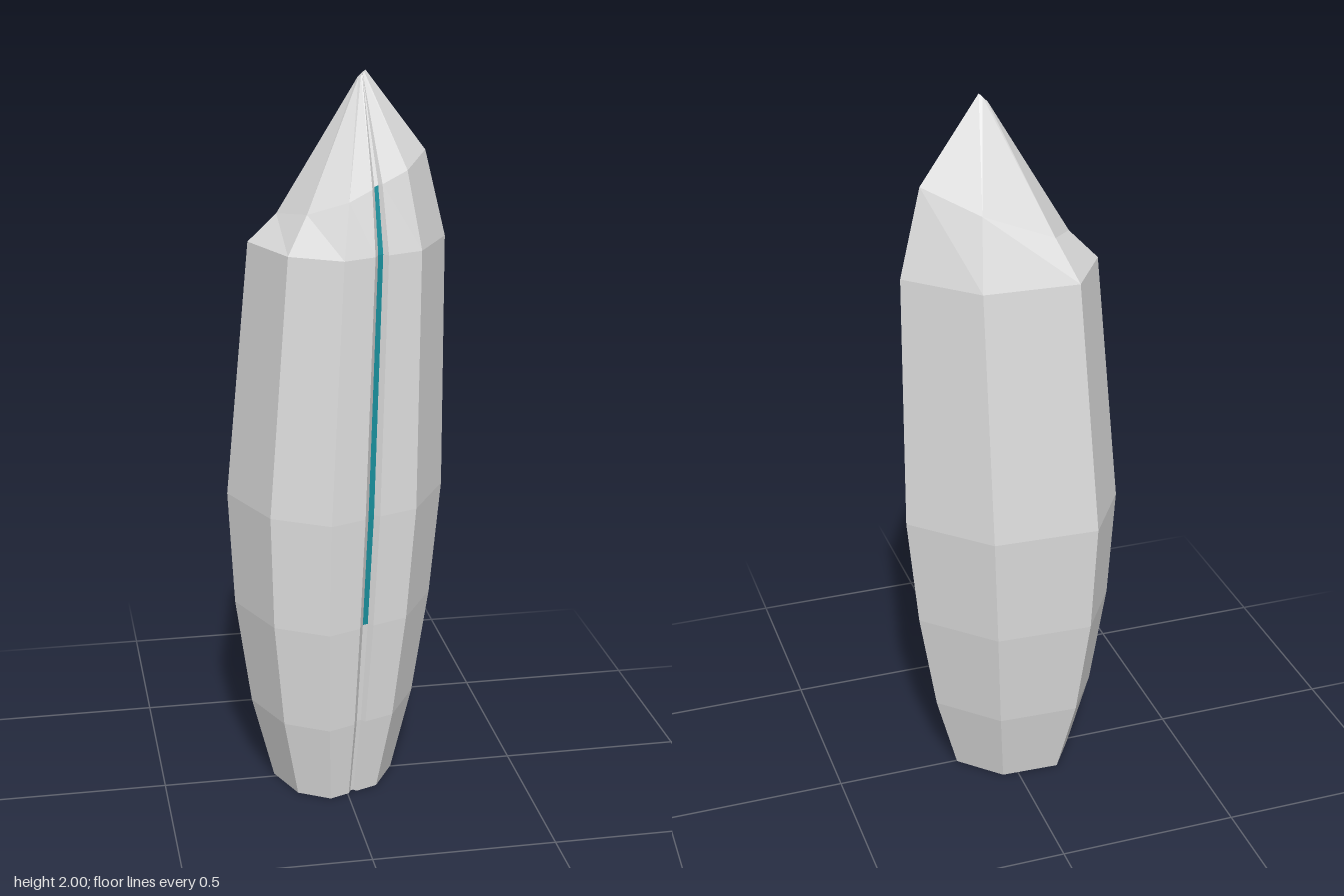
import * as THREE from 'three';

// Widest cross-section [x, z]: seven corners plus a narrow groove in the front facet
const PROFILE = [
  [-0.18, -0.243], [0.108, -0.232], [0.297, -0.045], [0.185, 0.145],
  [0.078, 0.186], [0.064, 0.171], [0.048, 0.177], [0.035, 0.203],
  [-0.062, 0.241], [-0.212, 0.153], [-0.3, -0.065],
];
const GROOVE_FLOOR = 5; // profile edge that forms the floor of the groove

// Levels from base to tip: height, scale, shift in x and z, tilt (rise per unit x)
const LEVELS = [
  { y: 0, s: 0.565, x: -0.0165, z: 0.022, tilt: 0 },
  { y: 0.23, s: 0.768, x: -0.014, z: 0.015, tilt: 0 },
  { y: 0.527, s: 0.92, x: -0.009, z: 0.007, tilt: 0 },
  { y: 0.845, s: 1, x: 0, z: 0, tilt: 0 },
  { y: 1.55, s: 0.885, x: 0.03, z: 0.006, tilt: 0 },
  { y: 1.706, s: 0.66, x: 0.037, z: 0.01, tilt: 0.4 },
  { y: 1.988, s: 0.04, x: 0.055, z: 0.012, tilt: 1 },
];

const ring = (l) => PROFILE.map(([px, pz]) =>
  new THREE.Vector3(px * l.s + l.x, l.y + px * l.s * l.tilt, pz * l.s + l.z));
const centre = (l) => new THREE.Vector3(l.x, l.y, l.z);

// Unshared corners give every facet its own flat normal
function facets(points) {
  const g = new THREE.BufferGeometry().setFromPoints(points);
  g.computeVertexNormals();
  return g;
}

export function createModel() {
  const stone = new THREE.MeshStandardMaterial({ color: 0xe1e1e1 });
  stone.name = 'pale stone';
  const teal = new THREE.MeshStandardMaterial({ color: 0x1a929f });
  teal.name = 'teal inlay';

  const rings = LEVELS.map(ring);
  const n = PROFILE.length;
  const body = [], inlay = [];

  // Side facets; the groove floor is teal between the third level and the shoulder
  for (let k = 0; k < rings.length - 1; k++) {
    const a = rings[k], b = rings[k + 1];
    for (let i = 0; i < n; i++) {
      const j = (i + 1) % n;
      const target = i === GROOVE_FLOOR && k >= 2 && k <= 4 ? inlay : body;
      target.push(a[i], b[i], b[j], a[i], b[j], a[j]);
    }
  }

  // Base and tip caps
  const last = rings.length - 1;
  for (let i = 0; i < n; i++) {
    const j = (i + 1) % n;
    body.push(centre(LEVELS[0]), rings[0][i], rings[0][j]);
    body.push(centre(LEVELS[last]), rings[last][j], rings[last][i]);
  }

  const group = new THREE.Group();
  group.name = 'standingStone';
  const stoneMesh = new THREE.Mesh(facets(body), stone);
  stoneMesh.name = 'stoneBody';
  const inlayMesh = new THREE.Mesh(facets(inlay), teal);
  inlayMesh.name = 'grooveInlay';
  group.add(stoneMesh, inlayMesh);
  return group;
}
